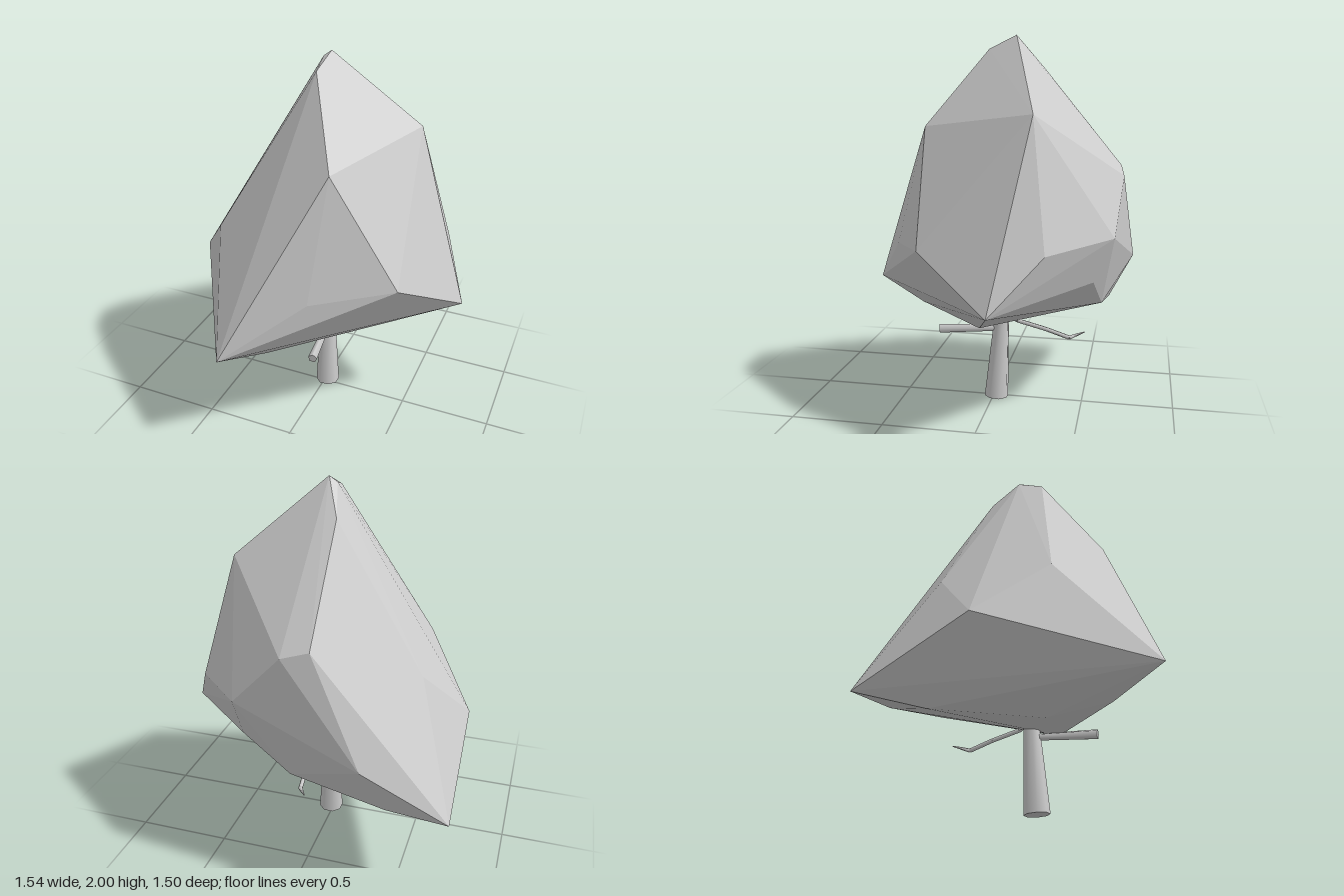
import * as THREE from 'three';
import { ConvexGeometry } from 'three/addons/geometries/ConvexGeometry.js';

const grey = new THREE.MeshStandardMaterial({ color: 0xcccccc });
grey.name = 'pale grey';

// Tapered limb through a list of [x, y, z, radius] stations
function limb(name, stations, sides) {
  const group = new THREE.Group();
  group.name = name;
  const up = new THREE.Vector3(0, 1, 0);
  for (let i = 0; i + 1 < stations.length; i++) {
    const a = new THREE.Vector3(...stations[i].slice(0, 3));
    const b = new THREE.Vector3(...stations[i + 1].slice(0, 3));
    const dir = b.clone().sub(a);
    const geo = new THREE.CylinderGeometry(stations[i + 1][3], stations[i][3], dir.length(), sides);
    geo.rotateY(Math.PI / sides);
    const mesh = new THREE.Mesh(geo, grey);
    mesh.name = name + 'Segment';
    mesh.position.copy(a).add(b).multiplyScalar(0.5);
    mesh.quaternion.setFromUnitVectors(up, dir.normalize());
    group.add(mesh);
  }
  return group;
}

export function createModel() {
  const tree = new THREE.Group();
  tree.name = 'tree';

  // Faceted crown: corners of a convex lump, from the tip downwards
  const corners = [
    [-0.01, 2.0, -0.12], [-0.05, 1.97, -0.11], [-0.03, 1.93, 0.03], [-0.09, 1.83, -0.26],
    [0.44, 1.61, -0.275], [0.165, 1.53, 0.335],
    [-0.09, 1.32, -0.68], [0.05, 1.28, -0.70], [-0.49, 1.1, 0.27], [-0.55, 1.09, -0.31],
    [0.315, 1.0, -0.67], [0.61, 0.96, -0.36], [0.52, 0.94, 0.29], [0.12, 0.89, 0.51],
    [-0.76, 0.78, -0.03], [-0.35, 0.77, -0.755], [0.31, 0.77, -0.57], [0.77, 0.69, -0.11],
    [-0.28, 0.59, 0.75], [0.05, 0.59, -0.6], [-0.45, 0.49, -0.62], [-0.14, 0.48, 0.45],
    [-0.77, 0.47, -0.63], [0.16, 0.44, 0.05], [-0.57, 0.41, -0.335], [-0.24, 0.405, 0.14],
  ];
  const crown = new THREE.Mesh(
    new ConvexGeometry(corners.map((c) => new THREE.Vector3(...c))), grey);
  crown.name = 'crown';
  tree.add(crown);

  // Trunk, leaning slightly back into the crown
  tree.add(limb('trunk', [[0.015, 0, -0.018, 0.068], [0.004, 0.46, -0.045, 0.042]], 8));

  // Two small bare branches under the crown
  tree.add(limb('frontBranch', [[0.01, 0.4, -0.04, 0.018], [0.055, 0.39, 0.3, 0.026]], 5));
  tree.add(limb('backBranch', [
    [0.02, 0.5, -0.05, 0.012], [0.09, 0.475, -0.15, 0.012], [0.07, 0.43, -0.3, 0.012],
    [0.06, 0.385, -0.43, 0.012], [0.01, 0.405, -0.51, 0.003],
  ], 5));

  return tree;
}
